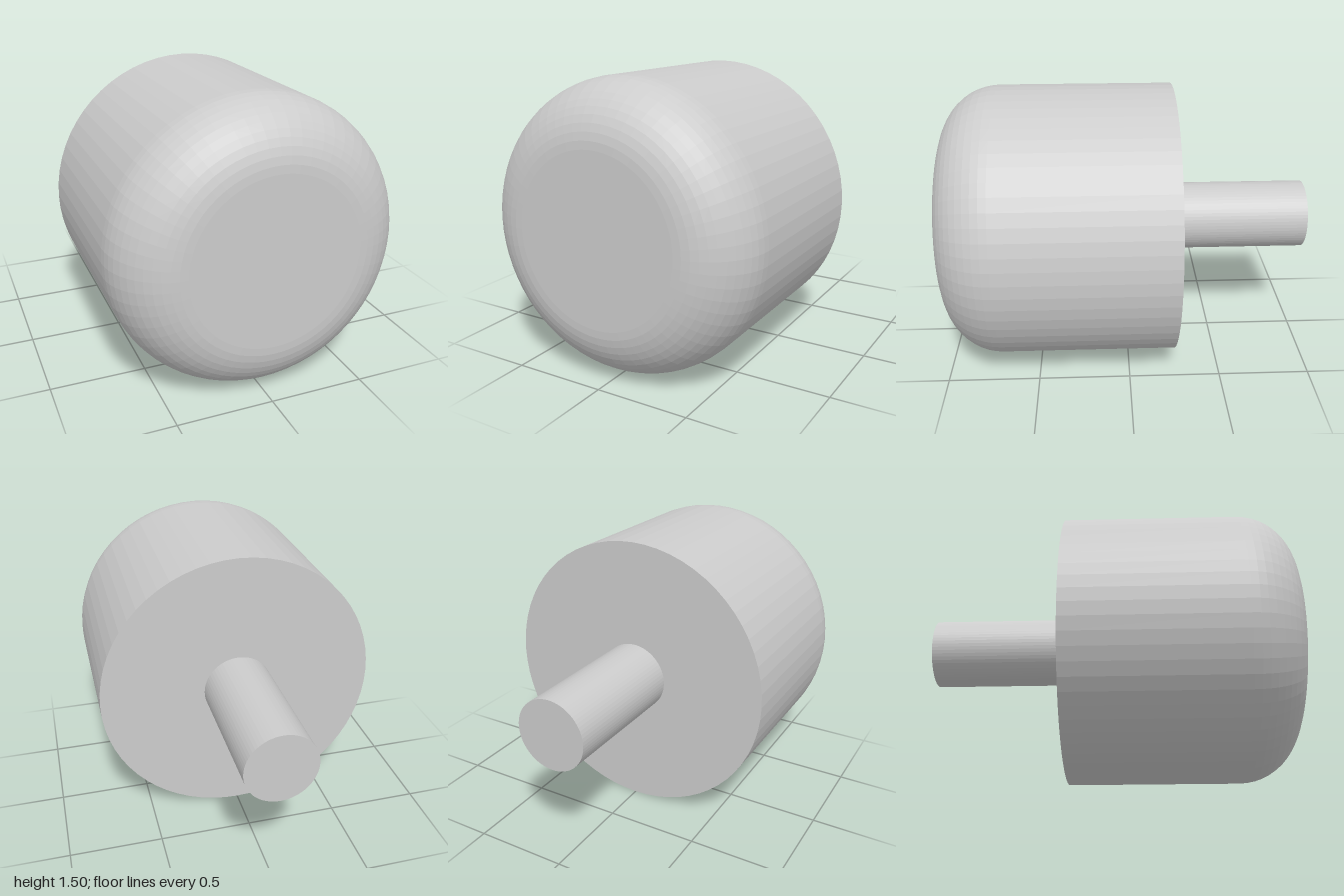
import * as THREE from 'three';

const RADIUS = 0.75, FILLET = 0.3125, SHAFT_RADIUS = 0.1875;
const BACK = -0.25, FRONT = 1, SHAFT_END = -1;

export function createModel() {
  const group = new THREE.Group();
  group.name = 'knobWithShaft';
  const material = new THREE.MeshStandardMaterial({ color: 0xcccccc, flatShading: true });

  // Turn a [radius, z] profile around the z axis at the height of the knob centre
  const addTurned = (name, profile, segments) => {
    const points = profile.map(([r, z]) => new THREE.Vector2(r, z));
    const geometry = new THREE.LatheGeometry(points, segments);
    geometry.rotateX(Math.PI / 2);
    const mesh = new THREE.Mesh(geometry, material);
    mesh.name = name;
    mesh.position.y = RADIUS;
    group.add(mesh);
  };

  // Knob body: flat back, straight wall, rounded front rim and flat front face
  const body = [[0, BACK], [RADIUS, BACK]];
  const steps = 12;
  for (let i = 0; i <= steps; i++) {
    const a = (i / steps) * Math.PI / 2;
    body.push([
      RADIUS - FILLET + FILLET * Math.cos(a),
      FRONT - FILLET + FILLET * Math.sin(a),
    ]);
  }
  body.push([0, FRONT]);
  addTurned('knobBody', body, 64);

  // Shaft: plain rod out of the back, closed at its end
  addTurned('shaft', [[0, SHAFT_END], [SHAFT_RADIUS, SHAFT_END], [SHAFT_RADIUS, BACK]], 64);

  return group;
}
